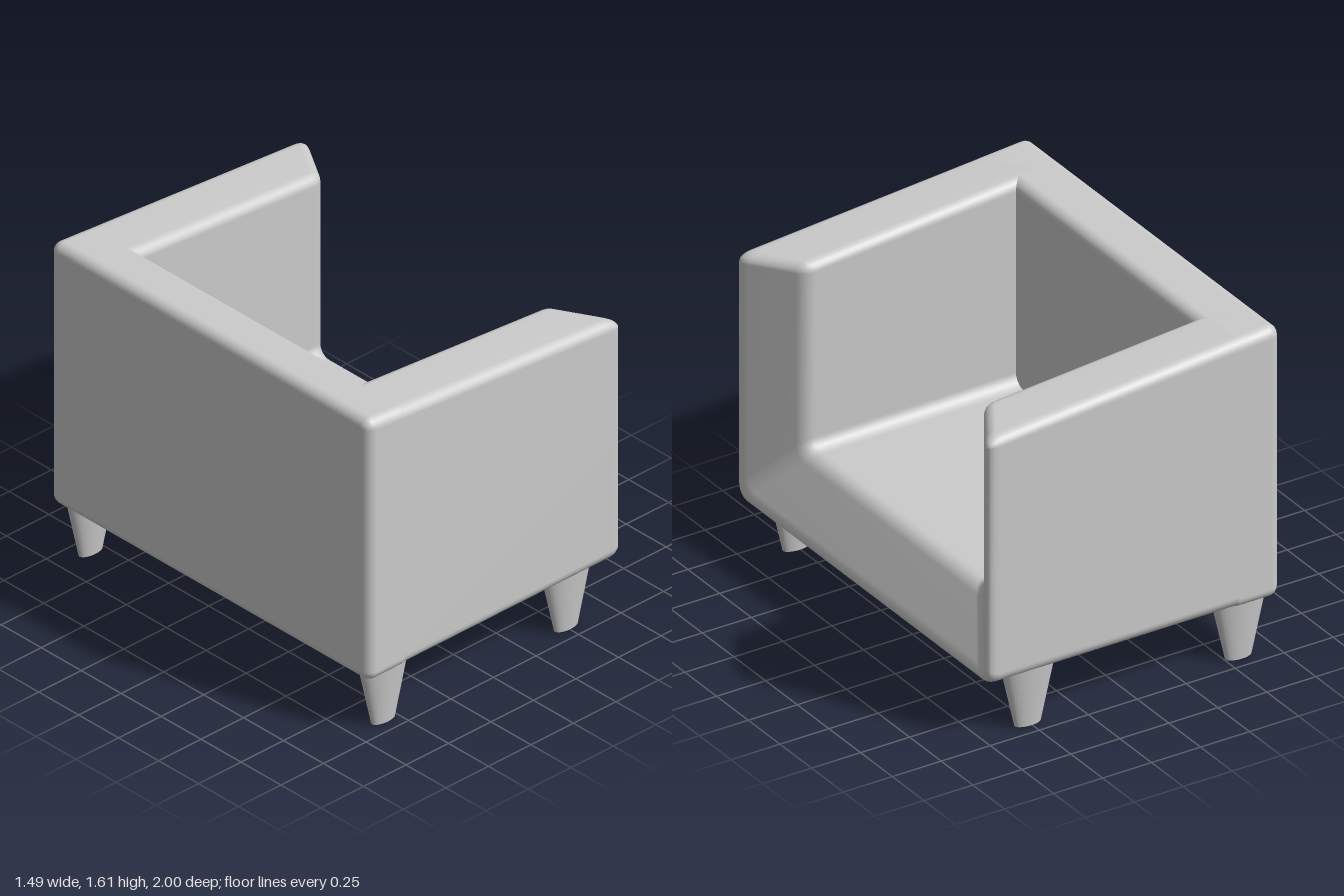
import * as THREE from 'three';
import { RoundedBoxGeometry } from 'three/addons/geometries/RoundedBoxGeometry.js';

const TOP = 1.61, BOTTOM = 0.28, SEAT = 0.6, THICK = 0.3, ROUND = 0.05, STEPS = 6;
const material = new THREE.MeshStandardMaterial({ color: 0xcccccc });

// Lowers the upper edges steadily from the back towards the front.
const slopeY = (x, y) =>
  y - (x + 0.7) * 0.082 * THREE.MathUtils.clamp((y - SEAT) / (TOP - SEAT), 0, 1);

// Rounded section of the frame as (x, depth from the outside); its front slants inward.
function frameSection(inset) {
  const front = (d) => 0.78 - 0.636 * d - 1.185 * inset;
  const near = inset, far = THICK - inset;
  const corners = [
    [-0.6, near, 0.02], [front(near), near, 0.08],
    [front(far), far, 0.05], [-0.6, far, 0.02],
  ].map(([x, d, cut]) => ({ p: new THREE.Vector2(x, d), cut: Math.max(0.006, cut - inset) }));
  const points = [];
  corners.forEach(({ p, cut }, i) => {
    const toward = (q) => q.clone().sub(p).setLength(cut).add(p);
    const a = toward(corners[(i + 3) % 4].p);
    const b = toward(corners[(i + 1) % 4].p);
    points.push(...new THREE.QuadraticBezierCurve(a, p, b).getPoints(STEPS));
  });
  return points;
}

// Both arms and the seat base: the section swept down, across and up again.
function frameGeometry() {
  const half = [];
  for (let i = 0; i <= STEPS; i++) {
    const a = (i / STEPS) * Math.PI / 2;
    const y = TOP - ROUND * (1 - Math.cos(a));
    half.push({ outer: [1, y], inner: [1 - THICK, y], inset: ROUND * (1 - Math.sin(a)) });
  }
  const arc = (z, y, r, b) => [z - r + r * Math.cos(b), y + r - r * Math.sin(b)];
  for (let i = 0; i <= STEPS; i++) {
    const b = (i / STEPS) * Math.PI / 2;
    half.push({ outer: arc(1, BOTTOM, 0.06, b), inner: arc(1 - THICK, SEAT, 0.06, b), inset: 0 });
  }
  const mirrored = half.map((s) => ({
    outer: [-s.outer[0], s.outer[1]], inner: [-s.inner[0], s.inner[1]], inset: s.inset,
  })).reverse();
  const stations = [...half, ...mirrored];

  const positions = [], index = [];
  const count = frameSection(0).length;
  for (const { outer, inner, inset } of stations) {
    for (const { x, y: depth } of frameSection(inset)) {
      const t = depth / THICK;
      const z = THREE.MathUtils.lerp(outer[0], inner[0], t);
      const y = THREE.MathUtils.lerp(outer[1], inner[1], t);
      positions.push(x, slopeY(x, y), z);
    }
  }
  for (let s = 0; s < stations.length - 1; s++) {
    for (let k = 0; k < count; k++) {
      const n = (k + 1) % count;
      const a = s * count + k, b = s * count + n;
      index.push(a, a + count, b, b, a + count, b + count);
    }
  }
  // Flat tops of the arms
  const centre = positions.length / 3;
  positions.push(0, slopeY(0, TOP), 1 - THICK / 2, 0, slopeY(0, TOP), THICK / 2 - 1);
  const last = (stations.length - 1) * count;
  for (let k = 0; k < count; k++) {
    const n = (k + 1) % count;
    index.push(centre, k, n, centre + 1, last + n, last + k);
  }
  const geometry = new THREE.BufferGeometry();
  geometry.setAttribute('position', new THREE.Float32BufferAttribute(positions, 3));
  geometry.setIndex(index);
  geometry.computeVertexNormals();
  return geometry;
}

// Backrest: a rounded slab whose top follows the same slope.
function backrestGeometry() {
  const geometry = new RoundedBoxGeometry(0.255, TOP - BOTTOM, 2, 5, ROUND);
  geometry.translate(-0.6075, (TOP + BOTTOM) / 2, 0);
  const p = geometry.attributes.position;
  for (let i = 0; i < p.count; i++) p.setY(i, slopeY(p.getX(i), p.getY(i)));
  return geometry;
}

export function createModel() {
  const model = new THREE.Group();
  model.name = 'armchair';
  const add = (name, geometry) => {
    const mesh = new THREE.Mesh(geometry, material);
    mesh.name = name;
    model.add(mesh);
    return mesh;
  };

  add('armsAndSeat', frameGeometry());
  add('backrest', backrestGeometry());

  // Tapered oval legs
  const leg = new THREE.CylinderGeometry(0.136, 0.065, 0.31, 32);
  leg.scale(1, 1, 0.47);
  leg.translate(0, 0.155, 0);
  for (const [end, x] of [['front', 0.505], ['back', -0.57]]) {
    for (const [side, z] of [['Left', -0.915], ['Right', 0.915]]) {
      add(`${end}${side}Leg`, leg).position.set(x, 0, z);
    }
  }
  return model;
}
